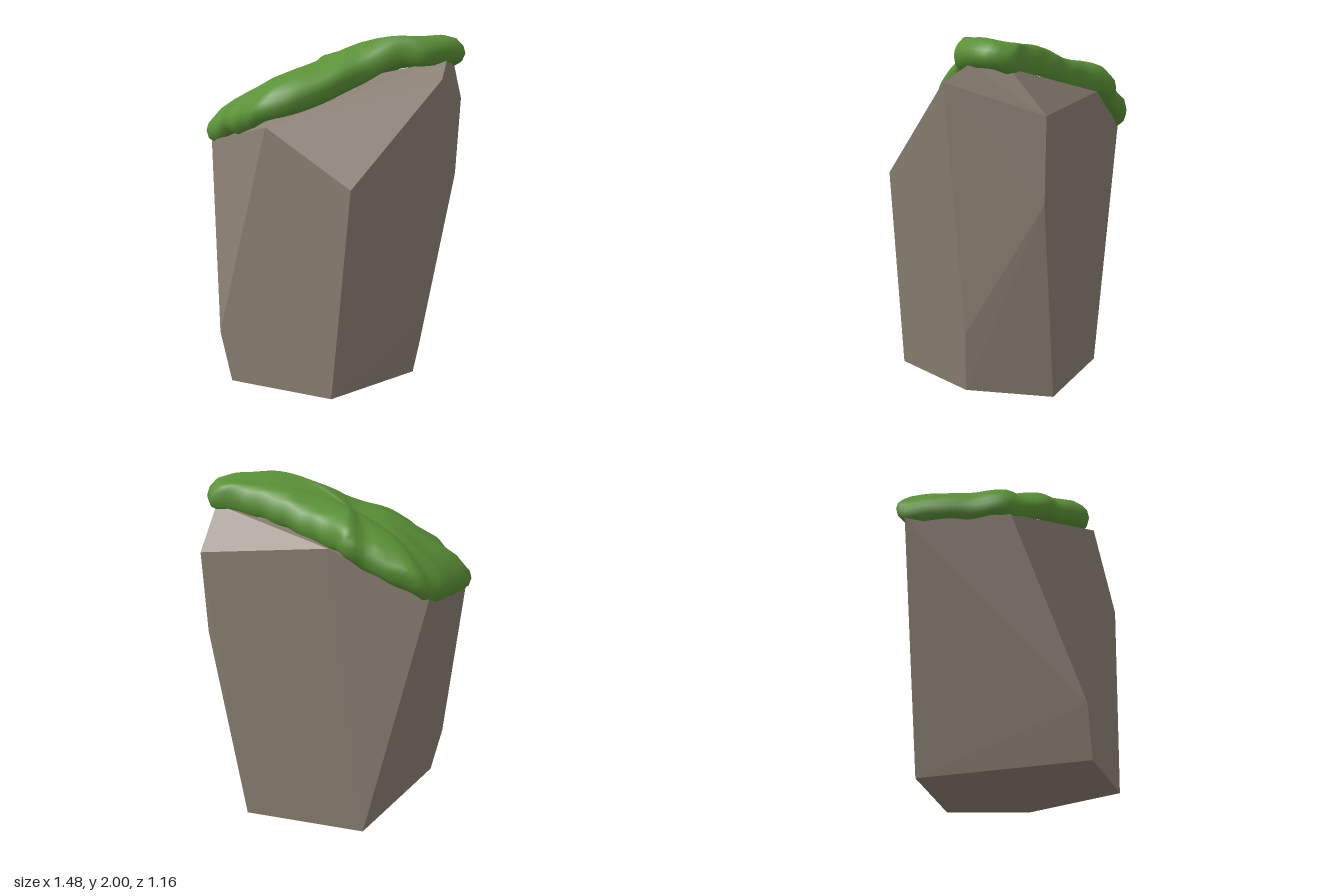
import * as THREE from 'three';
import { ConvexGeometry } from 'three/addons/geometries/ConvexGeometry.js';

const V = (x, y, z) => new THREE.Vector3(x, y, z);

// Faceted boulder: convex hull of its corners
function rockGeometry() {
  return new ConvexGeometry([
    // base
    V(-0.345, 0, 0.58), V(0.305, 0, 0.58), V(0.55, 0, -0.03), V(0.4, 0, -0.515), V(-0.33, 0, -0.42),
    // flanks
    V(-0.42, 0.29, 0.58), V(0.42, 1.2, 0.58), V(-0.1, 1.51, 0.58), V(0.6, 0.35, -0.06),
    V(0.6, 1.13, -0.56), V(0.62, 1.6, -0.58),
    // slanted crown
    V(0.71, 1.76, 0), V(0.68, 1.86, -0.15), V(0.64, 1.84, -0.37), V(-0.15, 1.68, -0.5),
    V(-0.7, 1.44, -0.39), V(-0.67, 1.36, 0.24),
  ]);
}

// Moss cushion: a wavy rim (x, lower y, z) rolled over and joined to a domed top
function mossGeometry() {
  const rim = new THREE.CatmullRomCurve3([
    V(-0.7, 1.36, 0.25), V(-0.6, 1.37, 0.3), V(-0.5, 1.42, 0.4), V(-0.33, 1.46, 0.49),
    V(-0.25, 1.49, 0.54), V(-0.13, 1.53, 0.56), V(0, 1.57, 0.51), V(0.1, 1.61, 0.43),
    V(0.2, 1.65, 0.33), V(0.3, 1.72, 0.2), V(0.42, 1.79, 0.1), V(0.5, 1.83, 0.04),
    V(0.6, 1.84, 0), V(0.66, 1.84, -0.06), V(0.74, 1.83, -0.28), V(0.67, 1.81, -0.4),
    V(0.5, 1.8, -0.39), V(0.25, 1.76, -0.41), V(0, 1.7, -0.45), V(-0.18, 1.66, -0.5),
    V(-0.3, 1.64, -0.55), V(-0.38, 1.58, -0.51), V(-0.5, 1.54, -0.5), V(-0.69, 1.45, -0.45),
    V(-0.71, 1.42, -0.4), V(-0.74, 1.4, -0.24), V(-0.72, 1.37, 0),
  ], true);
  const n = 108;
  const pts = rim.getSpacedPoints(n).slice(0, n);
  const centre = V(-0.08, 1.81, -0.05);
  // [share of the way out, height above the lower rim]
  const rings = [[0.8, 0.03], [0.93, 0], [0.98, 0.02], [1, 0.065], [0.985, 0.105], [0.94, 0.14],
    [0.87, 0.16], [0.76, 0.16], [0.64, 0.16], [0.5, 0.16], [0.36, 0.16], [0.22, 0.16], [0.1, 0.16]];
  const pos = [], index = [];
  rings.forEach(([s, h], i) => {
    pts.forEach((p) => {
      const x = centre.x + (p.x - centre.x) * s;
      const z = centre.z + (p.z - centre.z) * s;
      const t = i > 5 ? (0.94 - s) / 0.94 : 0;
      let y = THREE.MathUtils.lerp(p.y + h, centre.y, t) + 0.05 * Math.sin(Math.PI * t);
      // soft lumps
      y += 0.008 * Math.sin(13 * x + 5 * z) * Math.sin(15 * z - 4 * x + 1);
      if (i < 6) y += 0.007 * Math.sin(31 * x + 23 * z);
      pos.push(x, Math.min(y, 2), z);
    });
  });
  pos.push(centre.x, centre.y, centre.z);
  for (let i = 0; i < rings.length; i++) {
    for (let j = 0; j < n; j++) {
      const a = i * n + j, b = i * n + (j + 1) % n;
      if (i === rings.length - 1) index.push(a, b, rings.length * n);
      else index.push(a, b, b + n, a, b + n, a + n);
    }
  }
  const g = new THREE.BufferGeometry();
  g.setAttribute('position', new THREE.Float32BufferAttribute(pos, 3));
  g.setIndex(index);
  g.computeVertexNormals();
  return g;
}

export function createModel() {
  const stone = new THREE.MeshStandardMaterial({ color: 0x8a7f72 });
  stone.name = 'stone';
  const green = new THREE.MeshStandardMaterial({ color: 0x5a9136 });
  green.name = 'mossGreen';

  const group = new THREE.Group();
  group.name = 'mossyRock';
  const rock = new THREE.Mesh(rockGeometry(), stone);
  rock.name = 'rock';
  const moss = new THREE.Mesh(mossGeometry(), green);
  moss.name = 'mossCap';
  group.add(rock, moss);
  return group;
}
